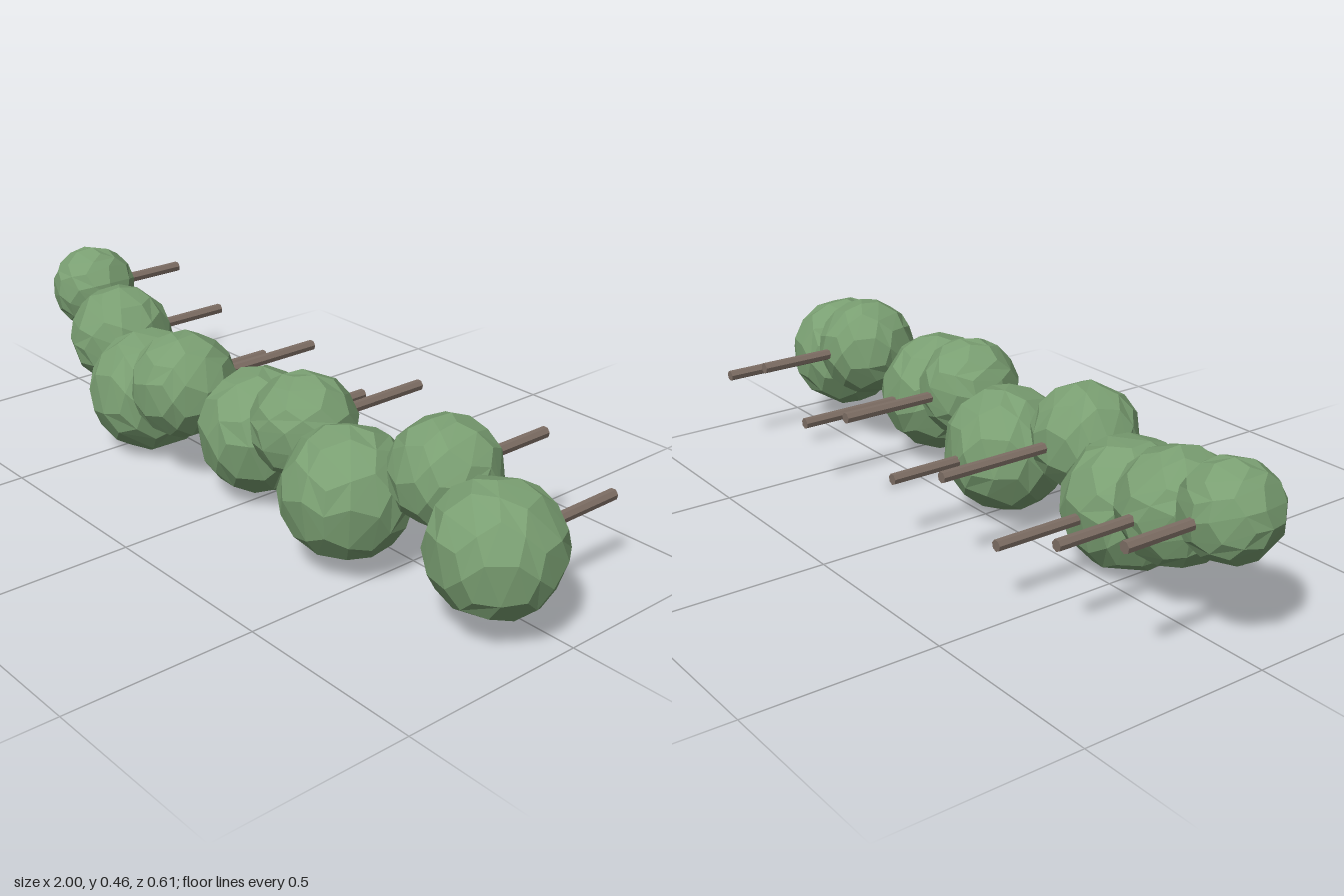
import * as THREE from 'three';

// Row of faceted foliage clumps, each held by a thin stem pointing back
export function createModel() {
  const group = new THREE.Group();
  group.name = 'hangingFoliage';

  const leaf = new THREE.MeshStandardMaterial({ color: 0x7a9f72, flatShading: true });
  leaf.name = 'leafGreen';
  const bark = new THREE.MeshStandardMaterial({ color: 0x7d6e64, flatShading: true });
  bark.name = 'stemBrown';

  // Clump centres and radii: y, z, radius
  const clumps = [
    [0.34, 0.0, 0.122],
    [0.26, 0.05, 0.147],
    [0.175, 0.1, 0.172],
    [0.27, 0.14, 0.144],
    [0.19, 0.055, 0.168],
    [0.287, 0.09, 0.138],
    [0.205, 0.14, 0.167],
    [0.303, 0.033, 0.138],
    [0.22, 0.093, 0.163],
  ];
  const spacing = 0.215, firstX = -0.88, backZ = -0.305;

  clumps.forEach(([y, z, r], i) => {
    const x = firstX + i * spacing;

    const clump = new THREE.Mesh(new THREE.DodecahedronGeometry(r, 1), leaf);
    clump.name = 'foliageClump' + (i + 1);
    clump.position.set(x, y, z);
    clump.rotation.set(i * 1.3, i * 2.1, i * 0.7); // turn each one differently
    group.add(clump);

    // Stem from the clump's centre to the back plane
    const length = z - backZ;
    const stem = new THREE.Mesh(new THREE.CylinderGeometry(0.015, 0.015, length, 7), bark);
    stem.name = 'stem' + (i + 1);
    stem.rotation.x = Math.PI / 2;
    stem.position.set(x, y, backZ + length / 2);
    group.add(stem);
  });

  return group;
}
